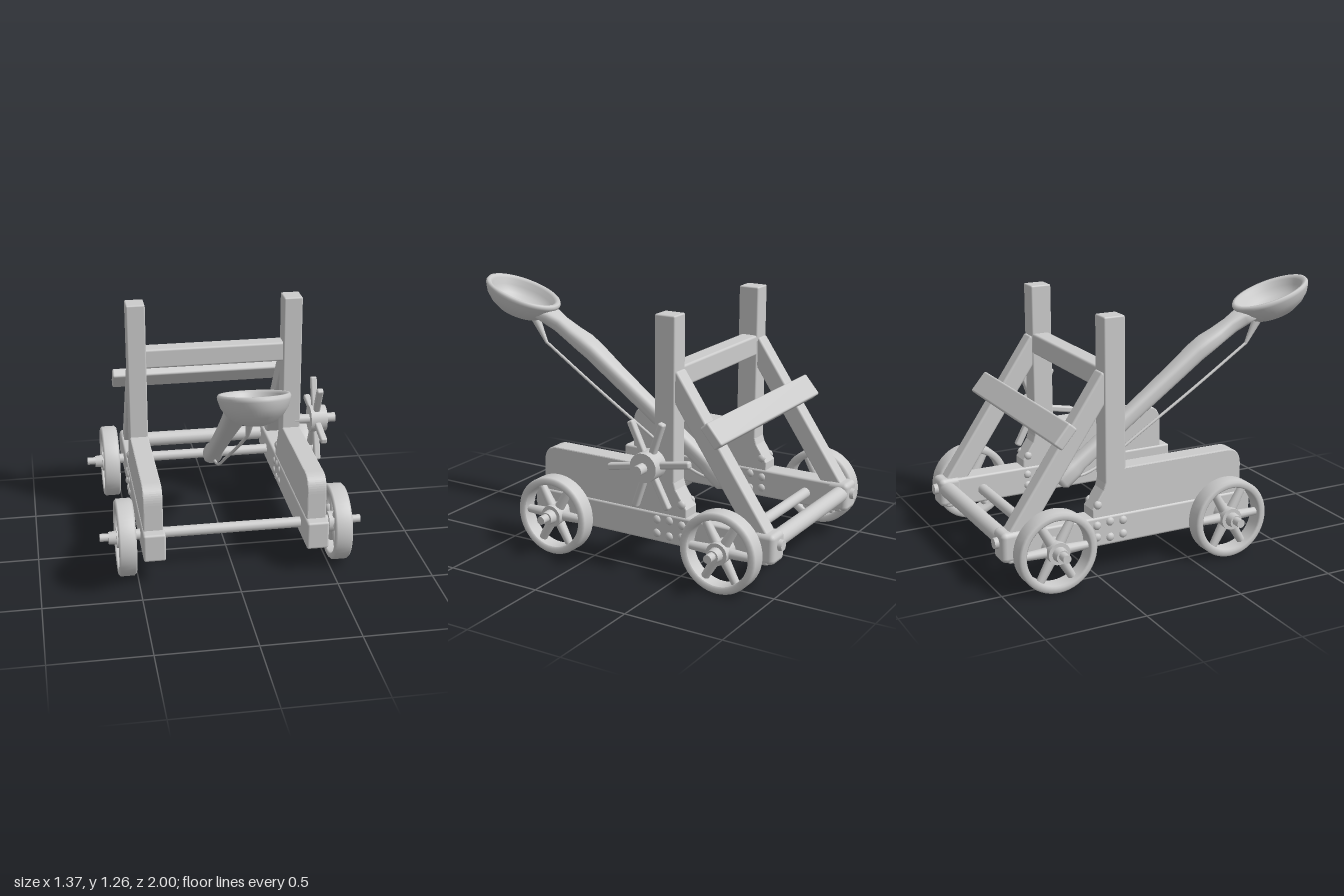
import * as THREE from 'three';
import { RoundedBoxGeometry } from 'three/addons/geometries/RoundedBoxGeometry.js';

const material = new THREE.MeshStandardMaterial({ color: 0xcccccc, roughness: 0.8 });
const V = (x, y, z) => new THREE.Vector3(x, y, z);

function add(parent, name, geometry, x = 0, y = 0, z = 0) {
  const mesh = new THREE.Mesh(geometry, material);
  mesh.name = name;
  mesh.position.set(x, y, z);
  parent.add(mesh);
  return mesh;
}

// Squared timber given by its extents
function beam(parent, name, [x0, x1], [y0, y1], [z0, z1], r = 0.012) {
  return add(parent, name, new RoundedBoxGeometry(x1 - x0, y1 - y0, z1 - z0, 2, r),
    (x0 + x1) / 2, (y0 + y1) / 2, (z0 + z1) / 2);
}

// Round rod from p to q
function rod(parent, name, p, q, rp, rq = rp, sides = 20) {
  const d = q.clone().sub(p);
  const mesh = add(parent, name, new THREE.CylinderGeometry(rq, rp, d.length(), sides));
  mesh.position.copy(p).addScaledVector(d, 0.5);
  mesh.quaternion.setFromUnitVectors(V(0, 1, 0), d.normalize());
  return mesh;
}

// Loft of rounded-square sections [z, y, halfWidth, halfHeight] along a path in the yz plane
function loft(sections, sides = 28) {
  const pos = [], index = [];
  const soft = (v) => Math.sign(v) * Math.abs(v) ** 0.7;
  sections.forEach(([z, y, w, h], i) => {
    const a = sections[Math.max(i - 1, 0)], b = sections[Math.min(i + 1, sections.length - 1)];
    const len = Math.hypot(b[0] - a[0], b[1] - a[1]);
    const tz = (b[0] - a[0]) / len, ty = (b[1] - a[1]) / len;
    for (let j = 0; j < sides; j++) {
      const t = (j / sides) * Math.PI * 2, s = soft(Math.sin(t)) * h;
      pos.push(soft(Math.cos(t)) * w, y + tz * s, z - ty * s);
      if (i < sections.length - 1) {
        const k = i * sides, n = (j + 1) % sides;
        index.push(k + j, k + n, k + sides + j, k + n, k + sides + n, k + sides + j);
      }
    }
  });
  const g = new THREE.BufferGeometry();
  g.setAttribute('position', new THREE.Float32BufferAttribute(pos, 3));
  g.setIndex(index);
  g.computeVertexNormals();
  return g;
}

// Spoked wheel turning about x
function wheel(side, z) {
  const g = new THREE.Group();
  g.name = 'wheel';
  const profile = [[0.162, -0.038], [0.17, -0.045], [0.19, -0.045], [0.2, -0.035], [0.2, 0.035],
    [0.19, 0.045], [0.17, 0.045], [0.162, 0.038], [0.162, -0.038]];
  const rim = new THREE.LatheGeometry(profile.map(([r, y]) => new THREE.Vector2(r, y)), 48);
  add(g, 'wheelRim', rim.rotateZ(Math.PI / 2));
  rod(g, 'wheelHub', V(-0.045, 0, 0), V(0.045, 0, 0), 0.055);
  rod(g, 'hubCap', V(0.03, 0, 0).multiplyScalar(side), V(0.085, 0, 0).multiplyScalar(side), 0.038, 0.032);
  for (let i = 0; i < 6; i++) {
    const a = (i * Math.PI) / 3, c = Math.cos(a), s = Math.sin(a);
    rod(g, 'wheelSpoke', V(0, s * 0.04, c * 0.04), V(0, s * 0.17, c * 0.17), 0.026, 0.02, 12);
  }
  g.position.set(side * 0.555, 0.2, z);
  return g;
}

// Side panel with a rounded upper front corner and a flared foot behind the post
function panelGeometry() {
  const s = new THREE.Shape();
  s.moveTo(0.32, 0.2);
  s.lineTo(0.32, 0.43);
  s.quadraticCurveTo(0.32, 0.52, 0.24, 0.52);
  s.lineTo(-0.42, 0.52);
  s.lineTo(-0.45, 0.42);
  s.lineTo(-0.51, 0.33);
  s.lineTo(-0.51, 0.2);
  s.closePath();
  const g = new THREE.ExtrudeGeometry(s, { depth: 0.088, bevelThickness: 0.006, bevelSize: 0.006, bevelOffset: -0.006, bevelSegments: 2 });
  return g.translate(0, 0, -0.044).rotateY(-Math.PI / 2);
}

function sideFrame(side) {
  const g = new THREE.Group();
  g.name = side > 0 ? 'leftFrame' : 'rightFrame';
  beam(g, 'bottomRail', [-0.057, 0.057], [0.14, 0.29], [-0.95, 0.375]);
  beam(g, 'railEndBlock', [-0.06, 0.06], [0.145, 0.295], [-0.98, -0.86], 0.025);
  rod(g, 'endPeg', V(-side * 0.005, 0.235, -0.96), V(-side * 0.005, 0.235, -1), 0.03, 0.026);
  add(g, 'sidePanel', panelGeometry());
  beam(g, 'post', [-0.05, 0.05], [0.2, 1.265], [-0.44, -0.33], 0.008);
  const brace = add(g, 'diagonalBrace', new RoundedBoxGeometry(0.085, 0.9, 0.1, 2, 0.012), 0, 0.605, -0.66);
  brace.rotation.x = Math.atan2(0.51, 0.74);
  // Rivets on both faces of the rail
  for (const face of [-1, 1])
    for (const [z, y] of [[-0.35, 0.185], [-0.42, 0.18], [-0.49, 0.19], [-0.35, 0.255], [-0.42, 0.26], [-0.49, 0.25], [-0.48, 0.35]])
      add(g, 'rivet', new THREE.SphereGeometry(0.022, 12, 8), face * (y > 0.3 ? 0.045 : 0.054), y, z).scale.x = 0.7;
  g.position.x = side * 0.42;
  return g;
}

function windlass() {
  const g = new THREE.Group();
  g.name = 'windlass';
  rod(g, 'windlassAxle', V(-0.13, 0, 0), V(0.1, 0, 0), 0.026);
  rod(g, 'windlassHub', V(-0.045, 0, 0), V(0.045, 0, 0), 0.075, 0.072, 24);
  for (const deg of [10, 71, 116, 191, 251, 298]) {
    const a = THREE.MathUtils.degToRad(deg);
    const spoke = new RoundedBoxGeometry(0.036, 0.2, 0.034, 2, 0.01).translate(0, 0.13, 0);
    add(g, 'windlassHandle', spoke, -0.01).rotation.x = a - Math.PI / 2 > 0 ? a - Math.PI / 2 : a - Math.PI / 2 + Math.PI * 2;
  }
  g.position.set(0.57, 0.555, -0.355);
  return g;
}

function throwingArm() {
  const g = new THREE.Group();
  g.name = 'throwingArm';
  const sections = [[-0.478, 0.315, 0.002, 0.002], [-0.475, 0.317, 0.035, 0.035], [-0.46, 0.329, 0.052, 0.05],
    [-0.39, 0.382, 0.05, 0.05], [-0.36, 0.405, 0.042, 0.042], [-0.2, 0.52, 0.043, 0.042], [0, 0.666, 0.046, 0.043],
    [0.2, 0.812, 0.053, 0.045], [0.33, 0.91, 0.06, 0.047], [0.39, 0.948, 0.064, 0.047], [0.46, 0.985, 0.058, 0.042],
    [0.54, 1.03, 0.048, 0.042], [0.6, 1.063, 0.065, 0.042], [0.65, 1.082, 0.08, 0.03], [0.66, 1.085, 0.002, 0.002]];
  add(g, 'armBeam', loft(sections));
  // Spoon bowl: outer wall, thick rim, hollow inside
  const wall = [[0, -0.135], [0.3, -0.13], [0.55, -0.115], [0.77, -0.085], [0.92, -0.048], [0.99, -0.012], [1, 0],
    [0.97, 0.012], [0.9, 0.012], [0.83, 0], [0.78, -0.03], [0.65, -0.065], [0.4, -0.085], [0, -0.093]];
  const bowl = add(g, 'spoonBowl', new THREE.LatheGeometry(wall.map(([r, y]) => new THREE.Vector2(r, y)), 56), 0, 1.18, 0.785);
  bowl.scale.set(0.165, 1, 0.226);
  bowl.rotation.x = -0.31;
  // Pull rope and the lug it hangs from
  rod(g, 'ropeLug', V(0, 1.05, 0.71), V(0, 0.915, 0.635), 0.026, 0.008, 12);
  const path = new THREE.CatmullRomCurve3([V(0, 0.925, 0.645), V(0, 0.72, 0.33), V(0, 0.515, 0), V(0, 0.38, -0.22), V(0, 0.335, -0.34), V(0, 0.335, -0.42)]);
  add(g, 'pullRope', new THREE.TubeGeometry(path, 40, 0.008, 8));
  return g;
}

export function createModel() {
  const model = new THREE.Group();
  model.name = 'catapult';
  const axles = [0.195, -0.745];

  for (const side of [-1, 1]) {
    model.add(sideFrame(side));
    for (const z of axles) model.add(wheel(side, z));
  }
  for (const z of axles) {
    rod(model, 'axle', V(-0.52, 0.21, z), V(0.52, 0.21, z), 0.028);
    rod(model, 'axleTip', V(-0.685, 0.205, z), V(0.685, 0.205, z), 0.021);
  }
  rod(model, 'rearRoller', V(-0.38, 0.235, -0.935), V(0.38, 0.235, -0.935), 0.042);

  // Cross timbers
  beam(model, 'postCrossbar', [-0.39, 0.39], [0.905, 1.012], [-0.437, -0.345]);
  const board = add(model, 'rearBoard', new RoundedBoxGeometry(1.06, 0.125, 0.055, 2, 0.01), 0, 0.738, -0.67);
  board.rotation.x = Math.atan2(0.51, 0.6);

  model.add(windlass(), throwingArm());
  return model;
}
